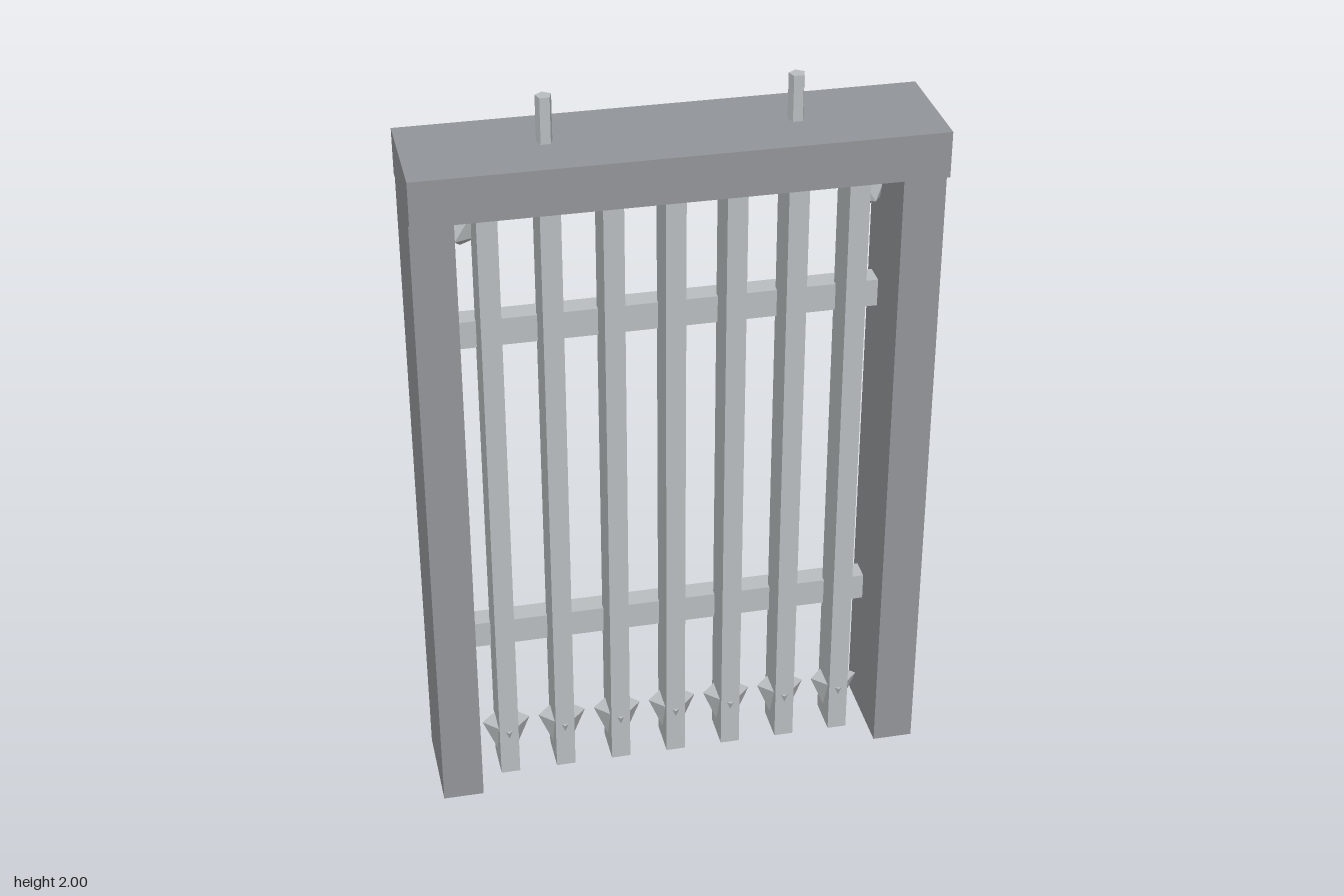
import * as THREE from 'three';

export function createModel() {
  const group = new THREE.Group();
  const make = (name, hex) => {
    const m = new THREE.MeshStandardMaterial({ color: hex, flatShading: true });
    m.name = name;
    return m;
  };
  const stone = make('dark grey frame', 0x929599);
  const iron = make('light grey iron', 0xb9bdbf);

  function add(name, geometry, material, x, y, z) {
    const mesh = new THREE.Mesh(geometry, material);
    mesh.name = name;
    mesh.position.set(x, y, z);
    group.add(mesh);
    return mesh;
  }

  // Frame: lintel across the top and one post on each side
  add('lintel', new THREE.BoxGeometry(1.32, 0.12, 0.31), stone, 0, 1.82, 0);
  const postGeo = new THREE.BoxGeometry(0.108, 1.74, 0.26);

  // Lifting pegs on the lintel and faceted studs behind the posts
  const pegGeo = new THREE.CylinderGeometry(0.021, 0.021, 0.14, 5).rotateY(Math.PI);
  const studGeo = new THREE.IcosahedronGeometry(0.068, 0);

  for (const [side, s] of [['left', 1], ['right', -1]]) {
    add(side + 'Post', postGeo, stone, s * 0.606, 0.89, 0);
    add(side + 'Peg', pegGeo, iron, s * 0.31, 1.93, 0);
    add(side + 'Stud', studGeo, iron, s * 0.515, 1.648, -0.091).rotation.z = s * 0.55;
  }

  // Seven upright bars, each with a four-sided spike pointing down
  const barGeo = new THREE.BoxGeometry(0.052, 1.74, 0.11);
  const spikeGeo = new THREE.ConeGeometry(0.065, 0.16, 4).rotateX(Math.PI);
  for (let i = -3; i <= 3; i++) {
    add('bar', barGeo, iron, i * 0.155, 0.89, 0);
    add('spike', spikeGeo, iron, i * 0.155, 0.08, 0);
  }

  // Cross rails on the back of the bars
  const railGeo = new THREE.BoxGeometry(1.105, 0.075, 0.06);
  for (const y of [0.426, 1.352]) add('crossRail', railGeo, iron, 0, y, -0.07);

  return group;
}
